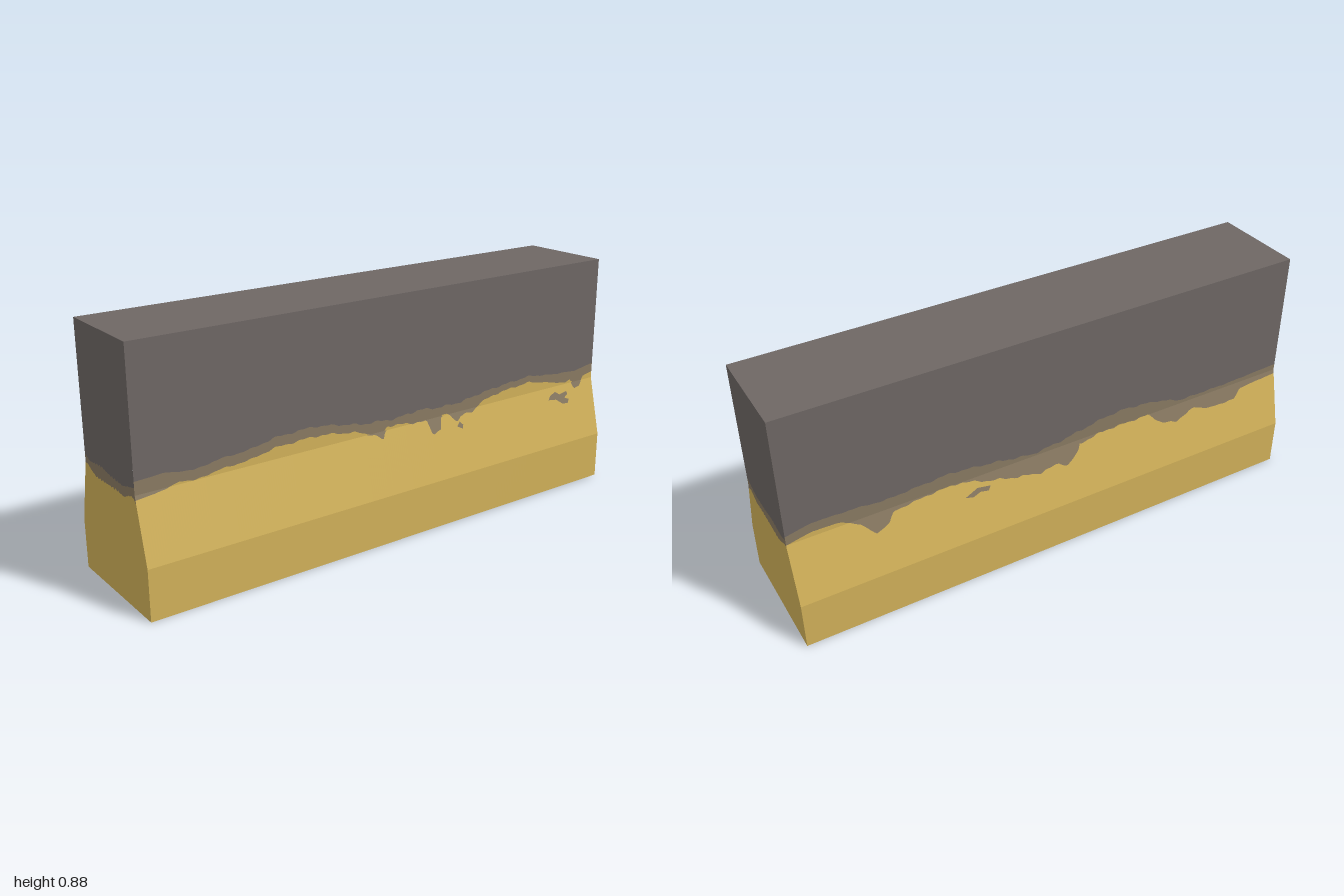
import * as THREE from 'three';

const mat = (name, color) => Object.assign(new THREE.MeshStandardMaterial({ color }), { name });

// Barrier cross-section: vertical foot, sloped shoulder, vertical wall
const LEVELS = [0, 0.18, 0.405, 0.885];
const FOOT = 0.235, WALL = 0.18, TOP = LEVELS[3];
const halfDepth = (y) => THREE.MathUtils.mapLinear(
  THREE.MathUtils.clamp(y, LEVELS[1], LEVELS[2]), LEVELS[1], LEVELS[2], FOOT, WALL);

// Paint edges as [position, height] points
const FRONT_LOW = [[-1, .39], [-.9, .4], [-.85, .415], [-.8, .405], [-.7, .42], [-.6, .425], [-.5, .445],
  [-.35, .45], [-.25, .44], [-.15, .42], [-.1, .4], [-.06, .375], [-.04, .42], [.05, .41], [.14, .4],
  [.16, .35], [.2, .36], [.21, .41], [.25, .4], [.28, .37], [.3, .39], [.36, .39], [.4, .42], [.5, .44],
  [.65, .45], [.75, .43], [.85, .41], [.88, .42], [.895, .38], [.93, .385], [.95, .42], [1, .43]];
const FRONT_HIGH = [[-1, .45], [-.9, .455], [-.8, .44], [-.7, .455], [-.6, .46], [-.5, .48], [-.35, .485],
  [-.25, .47], [-.15, .45], [0, .44], [.1, .45], [.2, .44], [.3, .44], [.4, .455], [.5, .465], [.65, .475],
  [.75, .46], [.9, .45], [1, .465]];
const BACK_LOW = [[-1, .39], [-.83, .38], [-.8, .345], [-.68, .345], [-.61, .37], [-.52, .34], [-.46, .355],
  [-.4, .405], [-.21, .405], [-.1, .39], [-.09, .36], [-.04, .325], [-.01, .345], [.07, .335], [.16, .35],
  [.25, .37], [.38, .405], [.47, .405], [.63, .39], [.65, .355], [.7, .335], [.75, .385], [.81, .42],
  [.91, .425], [1, .405]];
const BACK_HIGH = [[-1, .43], [-.77, .42], [-.55, .42], [-.43, .455], [-.3, .47], [-.21, .465], [0, .425],
  [.1, .415], [.25, .44], [.41, .46], [.66, .445], [.75, .455], [.91, .46], [1, .44]];
const END_LOW = [[-1, .4], [-.9, .4], [-.72, .385], [-.55, .375], [0, .378], [.3, .38], [.55, .375],
  [.7, .387], [.85, .396], [.95, .392], [1, .375]];
const END_HIGH = [[-1, .43], [-.8, .415], [-.55, .42], [-.3, .424], [0, .415], [.55, .41], [.75, .42], [1, .43]];

// Height of a paint edge at t, with a small ripple
function edge(points, t) {
  let i = 1;
  while (i < points.length - 1 && points[i][0] < t) i++;
  const [a, b] = [points[i - 1], points[i]];
  const ripple = 0.003 * Math.sin(t * 61) + 0.002 * Math.sin(t * 137 + 1);
  return THREE.MathUtils.mapLinear(t, a[0], b[0], a[1], b[1]) + ripple * (1 - t * t);
}

// Surface between two heights; place(s, y) puts s (left to right) and y in space
function band(place, low, high, columns) {
  const pos = [];
  const tri = (...p) => p.forEach((v) => pos.push(...v));
  for (let l = 0; l < 3; l++) {
    const clip = (y) => THREE.MathUtils.clamp(y, LEVELS[l], LEVELS[l + 1]);
    for (let i = 0; i < columns; i++) {
      const s = -1 + 2 * i / columns, e = -1 + 2 * (i + 1) / columns;
      const [a, b, c, d] = [clip(low(s)), clip(low(e)), clip(high(e)), clip(high(s))];
      if (c - b > 1e-6) tri(place(s, a), place(e, b), place(e, c));
      if (d - a > 1e-6) tri(place(s, a), place(e, c), place(s, d));
    }
  }
  const g = new THREE.BufferGeometry();
  g.setAttribute('position', new THREE.Float32BufferAttribute(pos, 3));
  g.computeVertexNormals();
  return g;
}

export function createModel() {
  const model = new THREE.Group();
  model.name = 'concreteBarrier';
  const yellow = mat('yellowPaint', 0xd1b159);
  const worn = mat('wornPaint', 0x897a62);
  const concrete = mat('greyConcrete', 0x6e6764);

  const add = (name, geometry, material, parent = model) => {
    const mesh = new THREE.Mesh(geometry, material);
    mesh.name = name;
    parent.add(mesh);
    return mesh;
  };

  // Four sides, each painted yellow below, worn in between and bare above
  const sides = [
    ['front', FRONT_LOW, FRONT_HIGH, 1, 240, (s, y) => [s, y, halfDepth(y)]],
    ['back', BACK_LOW, BACK_HIGH, -1, 240, (s, y) => [-s, y, -halfDepth(y)]],
    ['leftEnd', END_LOW, END_HIGH, -1, 60, (s, y) => [1, y, -s * halfDepth(y)]],
    ['rightEnd', END_LOW, END_HIGH, 1, 60, (s, y) => [-1, y, s * halfDepth(y)]],
  ];
  for (const [name, lowPts, highPts, sign, columns, place] of sides) {
    const side = new THREE.Group();
    side.name = name;
    model.add(side);
    const low = (s) => edge(lowPts, s * sign), high = (s) => edge(highPts, s * sign);
    add(name + 'Paint', band(place, () => 0, low, columns), yellow, side);
    add(name + 'WornEdge', band(place, low, high, columns), worn, side);
    add(name + 'Concrete', band(place, high, () => TOP, columns), concrete, side);
  }

  // Top and bottom faces
  const top = add('topFace', new THREE.PlaneGeometry(2, WALL * 2), concrete);
  top.rotation.x = -Math.PI / 2;
  top.position.y = TOP;
  const bottom = add('bottomFace', new THREE.PlaneGeometry(2, FOOT * 2), yellow);
  bottom.rotation.x = Math.PI / 2;

  // Chipped patches lying on the slopes
  const chip = (name, outline, back) => {
    const g = new THREE.ShapeGeometry(new THREE.Shape(outline.map(([x, y]) => new THREE.Vector2(x, y))));
    const p = g.attributes.position;
    for (let i = 0; i < p.count; i++) p.setZ(i, halfDepth(p.getY(i)) + 0.002);
    g.computeVertexNormals();
    const mesh = add(name, g, worn);
    if (back) mesh.rotation.y = Math.PI;
  };
  chip('frontChip', [[.75, .36], [.79, .355], [.82, .335], [.85, .33], [.86, .345], [.835, .355],
    [.855, .365], [.85, .378], [.81, .372], [.79, .385], [.76, .375]]);
  chip('frontSpeck', [[.275, .355], [.3, .342], [.305, .355], [.29, .37]]);
  chip('backChip', [[-.37, .345], [-.34, .338], [-.31, .348], [-.28, .342], [-.27, .358], [-.32, .366]], true);
  return model;
}
